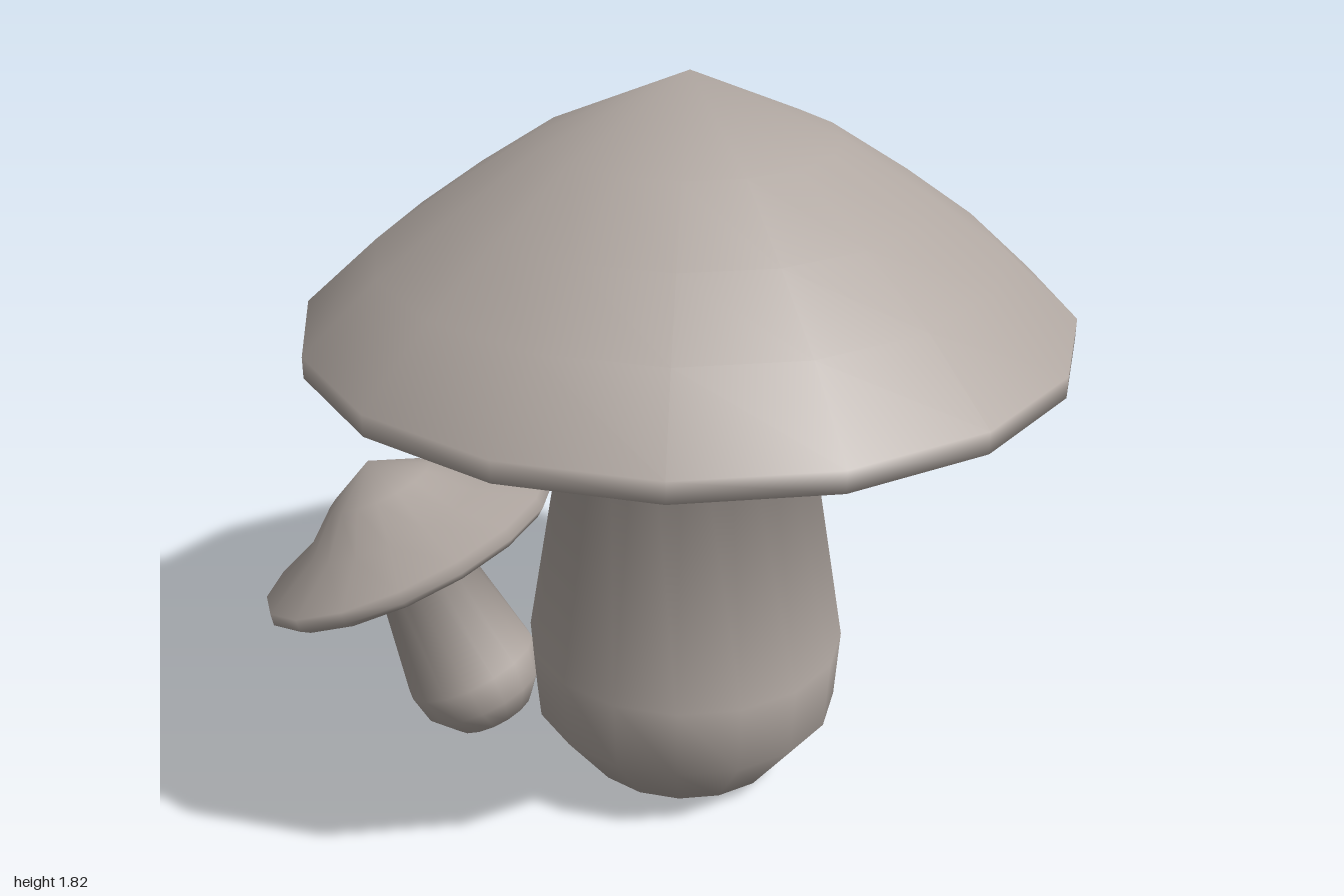
import * as THREE from 'three';
import { mergeVertices } from 'three/addons/utils/BufferGeometryUtils.js';

const material = new THREE.MeshStandardMaterial({ color: 0xb0a7a1 });

// Revolve one [radius, height] profile from the foot to the tip of the cap,
// then weld it so that shading flows smoothly through stem, underside and cap
function mushroom(name, profile) {
  const points = profile.map(([r, y]) => new THREE.Vector2(r, y));
  const lathe = new THREE.LatheGeometry(points, 16);
  lathe.deleteAttribute('uv');
  lathe.deleteAttribute('normal');
  const geometry = mergeVertices(lathe, 1e-4);
  geometry.computeVertexNormals();
  const mesh = new THREE.Mesh(geometry, material);
  mesh.name = name;
  return mesh;
}

export function createModel() {
  const model = new THREE.Group();
  model.name = 'mushrooms';

  // Large upright mushroom
  const large = mushroom('largeMushroom', [
    [0, 0.04], [0.26, 0.04], [0.385, 0.2], [0.397, 0.38], [0.24, 1.32], // stem
    [0.85, 1.175], [0.905, 1.2], [0.905, 1.25], // underside and rim
    [0.73, 1.41], [0.55, 1.54], [0.35, 1.67], [0, 1.82], // dome
  ]);
  large.position.x = 0.095;

  // Small mushroom leaning outward; its origin is the centre of the cap rim
  const small = mushroom('smallMushroom', [
    [0, -0.535], [0.11, -0.528], [0.165, -0.46], [0.18, -0.38], [0.1, 0.07], // stem
    [0.38, -0.03], [0.405, -0.01], [0.4, 0.02], // underside and rim
    [0.248, 0.085], [0.142, 0.173], [0, 0.246], // dome
  ]);
  small.position.set(-0.63, 0.53, 0.155);
  small.rotation.set(0.09, Math.PI / 16, 0.41, 'XZY');

  model.add(large, small);
  return model;
}
